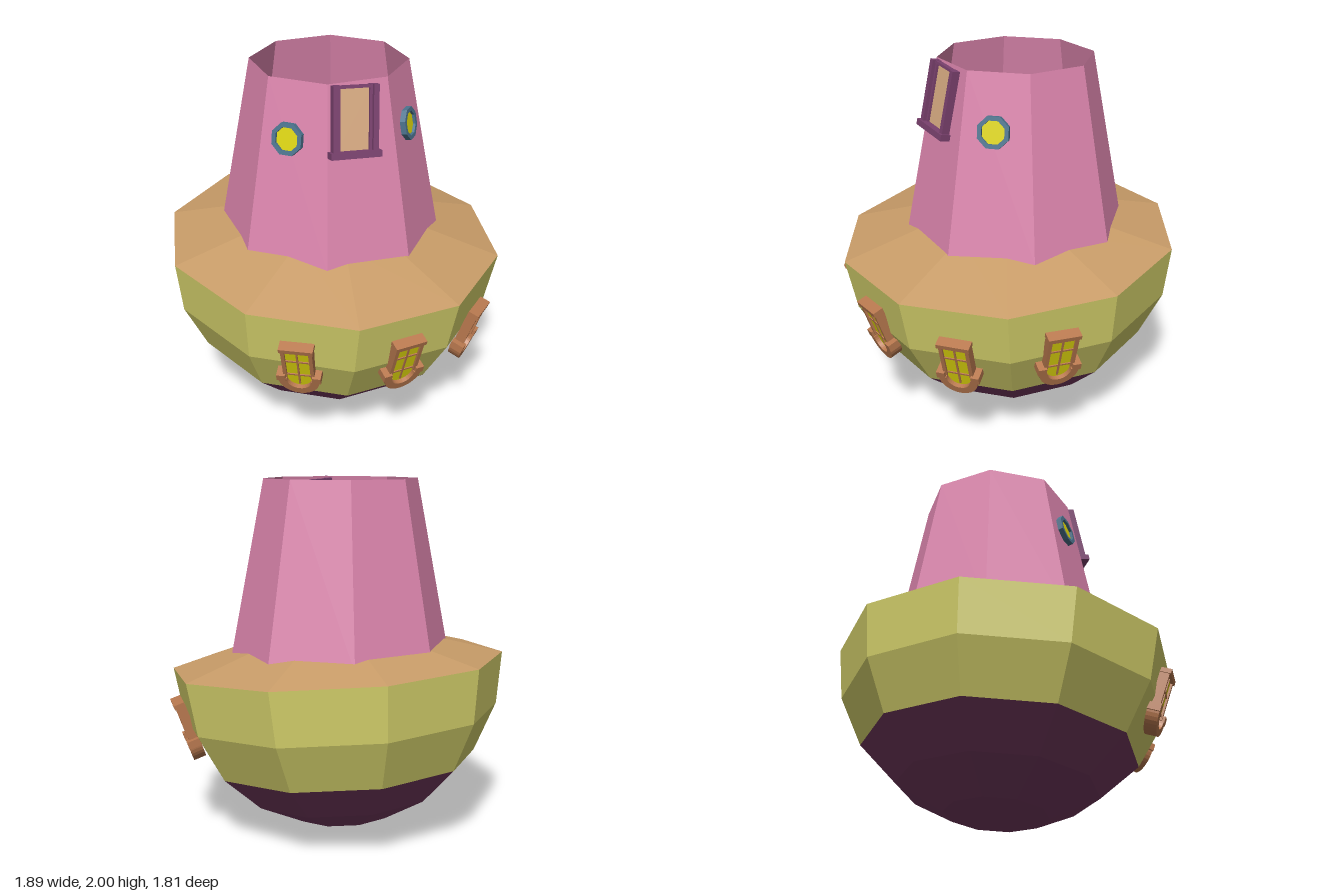
import * as THREE from 'three';

const mat = (color) => new THREE.MeshStandardMaterial({ color, flatShading: true, side: THREE.DoubleSide });
const MATS = {
  pink: mat(0xdd86ae), yellow: mat(0xd6d26c), purple: mat(0x74395f), deck: mat(0xc89c68),
  frame: mat(0xb9794f), glass: mat(0xe0d80c), trim: mat(0x7c4270), pane: mat(0xdcae85), steel: mat(0x4d7590),
};

function add(parent, name, geometry, material, x = 0, y = 0, z = 0) {
  const mesh = new THREE.Mesh(geometry, material);
  mesh.name = name;
  mesh.position.set(x, y, z);
  parent.add(mesh);
  return mesh;
}

const box = (parent, name, material, w, h, d, x, y, z) =>
  add(parent, name, new THREE.BoxGeometry(w, h, d), material, x, y, z);

// Faceted shell with a corner on the +x axis
const shell = (points, sides) =>
  new THREE.LatheGeometry(points.map(([r, y]) => new THREE.Vector2(r, y)), sides, Math.PI / 2);

// Turn a group outward at an azimuth (degrees from +x toward +z), then lean and roll it
function face(group, azimuth, lean, roll = 0) {
  group.rotation.order = 'YXZ';
  group.rotation.set(lean, Math.PI / 2 - THREE.MathUtils.degToRad(azimuth), roll);
}

// Window with a rounded foot, glazing bars and a heavy sill
function hullWindow() {
  const g = new THREE.Group();
  g.name = 'hullWindow';

  const pane = new THREE.Shape();
  pane.moveTo(-0.07, 0.16);
  pane.lineTo(-0.07, -0.07);
  pane.absarc(0, -0.07, 0.07, Math.PI, Math.PI * 2, false);
  pane.lineTo(0.07, 0.16);
  add(g, 'windowGlass', new THREE.ExtrudeGeometry(pane, { depth: 0.02, bevelEnabled: false, curveSegments: 8 }),
    MATS.glass, 0, 0, -0.01);

  const arc = new THREE.Shape();
  arc.absarc(0, -0.07, 0.108, Math.PI, Math.PI * 2, false);
  arc.absarc(0, -0.07, 0.066, Math.PI * 2, Math.PI, true);
  add(g, 'roundedSill', new THREE.ExtrudeGeometry(arc, { depth: 0.07, bevelEnabled: false, curveSegments: 8 }),
    MATS.frame, 0, 0, -0.035);

  for (const s of [-1, 1]) {
    box(g, 'sidePost', MATS.frame, 0.02, 0.23, 0.055, s * 0.073, 0.05, -0.005);
    box(g, 'sillEnd', MATS.frame, 0.046, 0.042, 0.075, s * 0.095, -0.058, 0);
  }
  box(g, 'lintel', MATS.frame, 0.18, 0.026, 0.06, 0, 0.165, 0);
  box(g, 'verticalBar', MATS.frame, 0.01, 0.28, 0.012, 0, 0.02, 0.01);
  for (const y of [0.065, -0.045]) box(g, 'crossBar', MATS.frame, 0.14, 0.01, 0.012, 0, y, 0.01);
  return g;
}

// Octagonal porthole
function porthole() {
  const g = new THREE.Group();
  g.name = 'porthole';
  const octagon = (r, Type) => {
    const p = new Type();
    for (let i = 0; i < 8; i++) {
      const a = (i + 0.5) * Math.PI / 4;
      p[i ? 'lineTo' : 'moveTo'](r * Math.cos(a), r * Math.sin(a));
    }
    p.closePath();
    return p;
  };
  const ring = octagon(0.09, THREE.Shape);
  ring.holes.push(octagon(0.066, THREE.Path));
  add(g, 'portholeRim', new THREE.ExtrudeGeometry(ring, { depth: 0.04, bevelEnabled: false }), MATS.steel, 0, 0, -0.01);
  add(g, 'portholeGlass', new THREE.ShapeGeometry(octagon(0.067, THREE.Shape)), MATS.glass, 0, 0, 0.015);
  return g;
}

// Tall framed opening at the top of the tower
function towerWindow() {
  const g = new THREE.Group();
  g.name = 'towerWindow';
  box(g, 'towerPane', MATS.pane, 0.19, 0.33, 0.012, 0, 0.18, 0.006);
  for (const s of [-1, 1]) {
    box(g, 'towerPost', MATS.trim, 0.03, 0.345, 0.065, s * 0.11, 0.182, 0.012);
    box(g, 'innerPost', MATS.trim, 0.018, 0.345, 0.035, s * 0.09, 0.182, 0.008);
  }
  box(g, 'towerSill', MATS.trim, 0.28, 0.034, 0.09, 0, 0, 0.012);
  box(g, 'towerLintel', MATS.trim, 0.2, 0.014, 0.04, 0, 0.345, 0.01);
  return g;
}

export function createModel() {
  const model = new THREE.Group();
  model.name = 'roundTowerHouse';

  // Ten-sided bowl and deck, tipped down toward +x
  const hull = new THREE.Group();
  hull.name = 'hull';
  hull.position.y = 0.965;
  hull.rotation.z = -0.074;
  model.add(hull);
  add(hull, 'lowerHull', shell([[0, -0.959], [0.085, -0.957], [0.287, -0.906], [0.558, -0.767], [0.767, -0.567]], 10), MATS.purple);
  add(hull, 'upperHull', shell([[0.767, -0.567], [0.905, -0.296], [0.95, 0]], 10), MATS.yellow);
  add(hull, 'deck', shell([[0.95, 0], [0.42, 0.15]], 10), MATS.deck);

  // Open eight-sided tower, set slightly off centre
  const tower = new THREE.Group();
  tower.name = 'tower';
  tower.position.set(-0.05, 0, -0.02);
  model.add(tower);
  const towerRadius = (y) => 0.43 + (2 - y) * 0.194;
  add(tower, 'towerWall', shell([[towerRadius(1.03), 1.03], [0.43, 2]], 8), MATS.pink);

  // Fittings on the tower walls: azimuth, height, sideways shift, roll
  const fit = (part, azimuth, y, shift, roll) => {
    const a = THREE.MathUtils.degToRad(azimuth);
    const r = towerRadius(y) * Math.cos(Math.PI / 8);
    part.position.set(r * Math.cos(a) + shift * Math.sin(a), y, r * Math.sin(a) - shift * Math.cos(a));
    face(part, azimuth, -0.177, roll);
    tower.add(part);
  };
  fit(porthole(), 67.5, 1.7, -0.03, 0);
  fit(porthole(), -22.5, 1.7, -0.01, 0);
  fit(towerWindow(), 22.5, 1.637, -0.05, -0.07);

  // Hull windows: facing, position azimuth, distance out, height
  for (const [azimuth, at, r, y] of [[54, 56, 0.862, 0.62], [18, 18.5, 0.853, 0.6], [-18, -18.5, 0.853, 0.56], [-54, -54, 0.862, 0.615]]) {
    const w = hullWindow();
    const a = THREE.MathUtils.degToRad(at);
    w.position.set(r * Math.cos(a), y, r * Math.sin(a));
    face(w, azimuth, 0.34);
    model.add(w);
  }
  return model;
}
